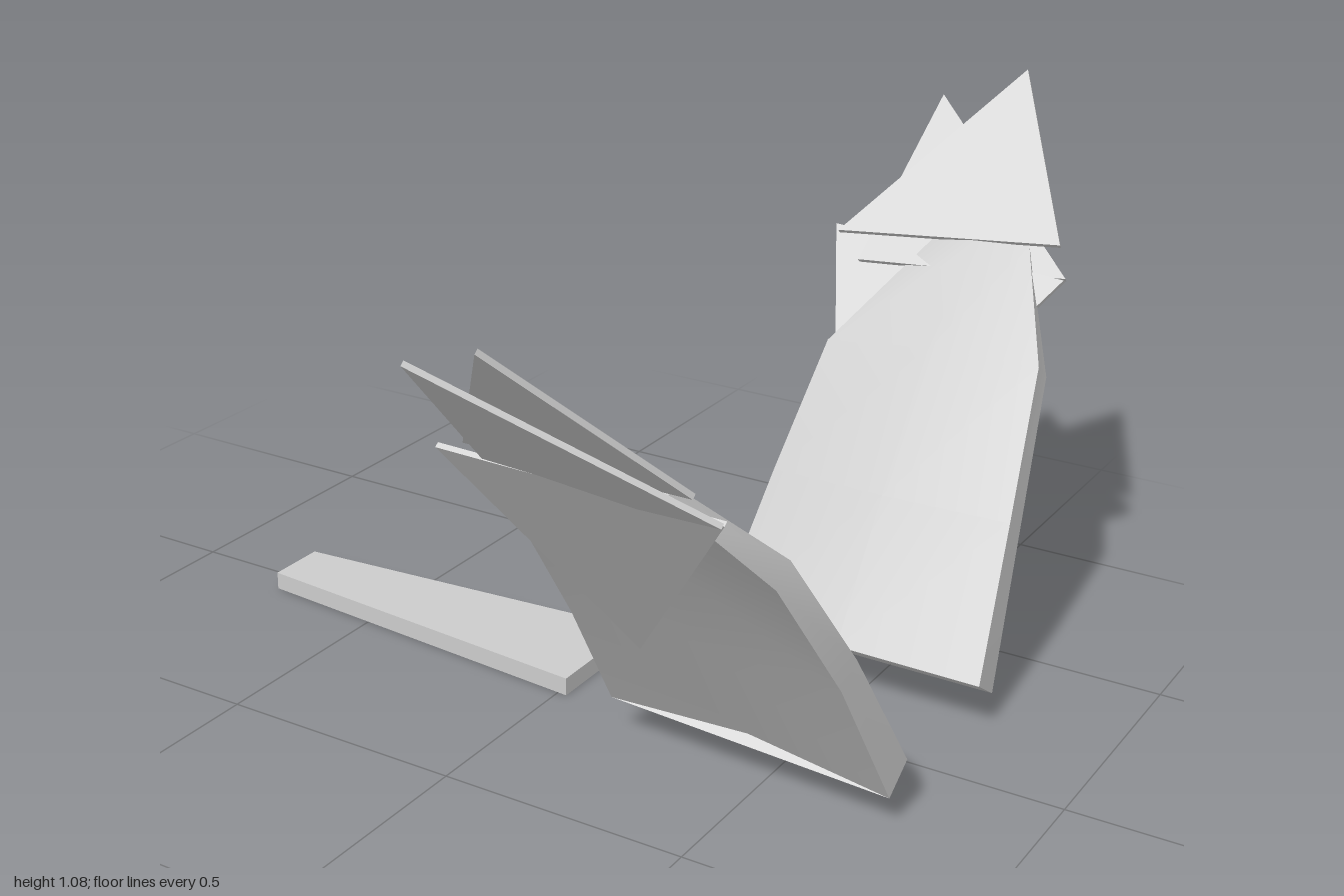
import * as THREE from 'three';
import { toCreasedNormals } from 'three/addons/utils/BufferGeometryUtils.js';

const grey = new THREE.MeshStandardMaterial({ color: 0xcccccc });
grey.name = 'pale grey';

// Closed solid through a list of rings with equal point counts, faces turned outward
function loft(name, rings, mirror = 1) {
  const n = rings[0].length, tris = [];
  for (let r = 0; r < rings.length - 1; r++)
    for (let i = 0; i < n; i++) {
      const a = r * n + i, b = r * n + (i + 1) % n;
      tris.push([a, b, b + n], [a, b + n, a + n]);
    }
  const top = (rings.length - 1) * n;
  for (let i = 1; i < n - 1; i++) tris.push([0, i + 1, i], [top, top + i, top + i + 1]);

  const pts = rings.flat().map(([x, y, z]) => new THREE.Vector3(x, y, z * mirror));
  const centre = pts.reduce((s, p) => s.add(p), new THREE.Vector3()).divideScalar(pts.length);
  const rel = pts.map((p) => p.clone().sub(centre));
  const volume = tris.reduce((v, [a, b, c]) => v + rel[a].dot(rel[b].clone().cross(rel[c])), 0);
  const pos = [];
  for (const [a, b, c] of tris)
    for (const k of volume > 0 ? [a, b, c] : [a, c, b]) pos.push(...pts[k].toArray());

  const geo = new THREE.BufferGeometry();
  geo.setAttribute('position', new THREE.Float32BufferAttribute(pos, 3));
  const mesh = new THREE.Mesh(toCreasedNormals(geo, 0.5), grey);
  mesh.name = name;
  return mesh;
}

// Thin triangular plate, thickened along its normal towards the outer side
function blade(name, corners, mirror) {
  const [a, b, c] = corners.map((p) => new THREE.Vector3(...p));
  const normal = b.clone().sub(a).cross(c.clone().sub(a)).normalize();
  if (normal.z < 0) normal.negate();
  const back = [a, b, c].map((p) => p.addScaledVector(normal, 0.01).toArray());
  return loft(name, [corners, back], mirror);
}

// Sections: sharp left edge, inner centre, inner right, outer right, outer centre
const panelRings = [
  [[0.17, 0.075, 0.2], [0.46, 0.105, 0.16], [0.76, 0.105, 0.157], [0.76, 0.06, 0.225], [0.46, 0.083, 0.195]],
  [[0.197, 0.34, 0.38], [0.46, 0.36, 0.335], [0.732, 0.37, 0.325], [0.732, 0.335, 0.38], [0.46, 0.345, 0.375]],
  [[0.22, 0.57, 0.555], [0.46, 0.61, 0.52], [0.695, 0.62, 0.51], [0.695, 0.585, 0.555], [0.46, 0.59, 0.55]],
  [[0.38, 0.78, 0.702], [0.48, 0.787, 0.7], [0.585, 0.795, 0.698], [0.585, 0.77, 0.71], [0.48, 0.775, 0.708]],
];

function wing(name, mirror) {
  const group = new THREE.Group();
  group.name = name;
  group.add(
    loft('wingPanel', panelRings, mirror),
    blade('tipBlade', [[0.18, 0.77, 0.665], [0.64, 0.8, 0.72], [0.44, 1.075, 0.99]], mirror),
    blade('sideBlade', [[0.235, 0.72, 0.65], [0.67, 0.745, 0.685], [0.275, 1.01, 0.945]], mirror),
    blade('lowerBlade', [[0.34, 0.31, 0.37], [0.67, 0.745, 0.675], [0.155, 0.77, 0.705]], mirror),
  );
  return group;
}

export function createModel() {
  const model = new THREE.Group();
  model.name = 'wingsAndTail';
  // Tapered flat tail
  const section = (x, w) => [[x, 0, -w], [x, 0, w], [x, 0.037, w], [x, 0.037, -w]];
  model.add(loft('tail', [section(-0.76, 0.063), section(0.02, 0.127)]));
  // Pair of raised wings
  model.add(wing('frontWing', 1), wing('backWing', -1));
  return model;
}
